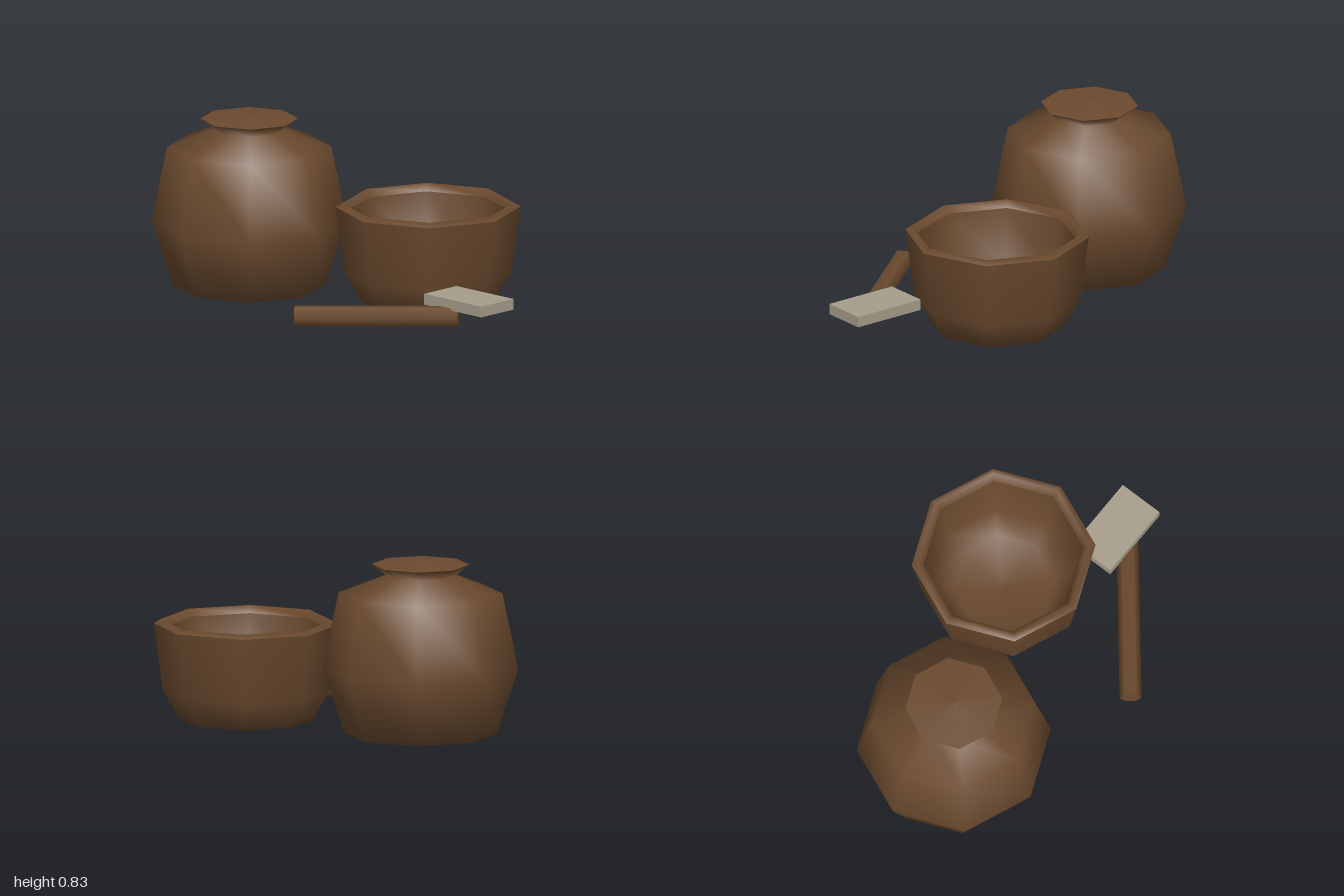
import * as THREE from 'three';

const brown = new THREE.MeshStandardMaterial({ color: 0x6b4a2e });
brown.name = 'brown clay';
const stone = new THREE.MeshStandardMaterial({ color: 0xa69d8b });
stone.name = 'pale stone';

// Eight-sided turned form; profile runs from the base centre upward as [radius, height]
function turned(name, profile) {
  const points = profile.map(([r, y]) => new THREE.Vector2(r, y));
  const mesh = new THREE.Mesh(new THREE.LatheGeometry(points, 8), brown);
  mesh.name = name;
  return mesh;
}

export function createModel() {
  const model = new THREE.Group();
  model.name = 'potteryAndMallet';

  // Closed storage jar with a flared lid
  const jar = new THREE.Group();
  jar.name = 'jar';
  jar.position.set(-0.54, 0, 0.14);
  jar.add(
    turned('jarBody', [[0, 0], [0.36, 0], [0.461, 0.31], [0.387, 0.67], [0.165, 0.755], [0.23, 0.807]]),
    turned('jarLid', [[0.23, 0.807], [0, 0.826]])
  );
  model.add(jar);

  // Open bowl with a bevelled rim and hollow inside
  const bowl = new THREE.Group();
  bowl.name = 'bowl';
  bowl.position.set(0.29, 0, -0.215);
  bowl.add(
    turned('bowlOutside', [[0, 0], [0.315, 0], [0.395, 0.14], [0.436, 0.456]]),
    turned('bowlRim', [[0.436, 0.456], [0.405, 0.475], [0.38, 0.44]]),
    turned('bowlInside', [[0.38, 0.44], [0.34, 0.16], [0.24, 0.07], [0, 0.05]])
  );
  model.add(bowl);

  // Wooden handle lying at an angle, slightly raised at its far end
  const start = new THREE.Vector3(0.212, 0.056, 0.608);
  const end = new THREE.Vector3(0.81, 0.069, 0.118);
  const length = start.distanceTo(end);
  const shaft = new THREE.CylinderGeometry(0.052, 0.052, length, 6);
  shaft.rotateX(Math.PI / 2);
  shaft.rotateZ(Math.PI / 6);
  const handle = new THREE.Mesh(shaft, brown);
  handle.name = 'handle';
  handle.position.copy(start).lerp(end, 0.5);
  handle.lookAt(end);
  model.add(handle);

  // Flat stone block resting over the end of the handle
  const block = new THREE.Mesh(new THREE.BoxGeometry(0.374, 0.052, 0.22), stone);
  block.name = 'stoneBlock';
  block.position.set(0.813, 0.129, 0.05);
  model.add(block);

  return model;
}
